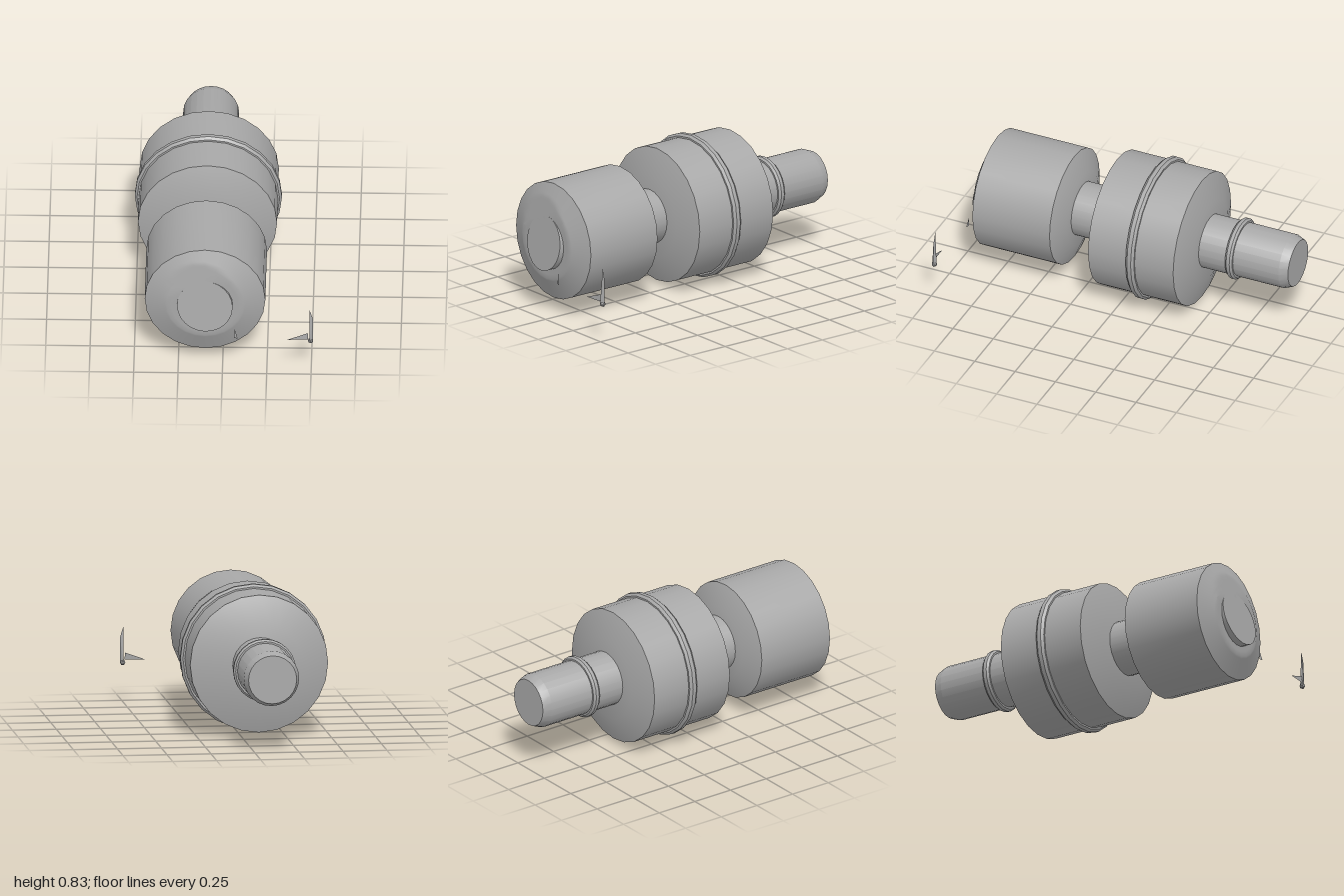
import * as THREE from 'three';
import { toCreasedNormals } from 'three/addons/utils/BufferGeometryUtils.js';

const AXIS_X = -0.1, AXIS_Y = 0.416, SIDES = 24;

export function createModel() {
  const model = new THREE.Group();
  const grey = new THREE.MeshStandardMaterial({ color: 0xa8a8a8, side: THREE.DoubleSide });
  grey.name = 'grey metal';

  const add = (name, geometry) => {
    const mesh = new THREE.Mesh(geometry, grey);
    mesh.name = name;
    model.add(mesh);
    return mesh;
  };

  // slanted cut across the front end: z may not exceed this plane (axis coordinates)
  const cutZ = (x, y) => 0.915 - 0.16 * (-0.33 * (x + 0.03) + 0.94 * (y - 0.119));

  // turned part along z, profile given as [radius, z] from back to front
  const turned = (name, profile, cut = false) => {
    const lathe = new THREE.LatheGeometry(profile.map(([r, z]) => new THREE.Vector2(r, z)), SIDES);
    lathe.rotateX(Math.PI / 2);
    lathe.scale(1, 1, 1);
    const p = lathe.attributes.position;
    for (let i = 0; i < p.count; i++) {
      // rotation about x maps the lathe axis (y) onto +z
      if (cut && p.getZ(i) > 0.8) p.setZ(i, Math.min(p.getZ(i), cutZ(p.getX(i), p.getY(i))));
    }
    const mesh = add(name, toCreasedNormals(lathe, 0.4));
    mesh.position.set(AXIS_X, AXIS_Y, 0);
    return mesh;
  };

  // subdivided straight run of a profile
  const run = (a, b, n) => Array.from({ length: n + 1 }, (_, i) => [
    a[0] + (b[0] - a[0]) * i / n, a[1] + (b[1] - a[1]) * i / n]);

  // central shaft, chamfered at the back and cut at the front
  turned('shaft', [[0, -1], [0.137, -1], [0.157, -0.95], [0.157, 0.85],
    ...run([0.157, 0.99], [0, 0.99], 4)], true);

  // large rear drum
  turned('rearDrum', [[0, -0.455], [0.24, -0.455], [0.392, -0.405],
    [0.392, 0.122], [0.24, 0.172], [0, 0.172]]);

  // front drum with its nose sliced by the cut
  turned('frontDrum', [[0, 0.335], [0.215, 0.335], [0.34, 0.385], [0.34, 0.863],
    ...run([0.34, 0.863], [0.215, 0.915], 10).slice(1),
    ...run([0.215, 0.915], [0, 0.915], 8).slice(1)], true);

  // rounded raised rings
  const ring = (name, z, inner, outer, half) => turned(name, [
    [inner, z - half], [outer - half * 0.5, z - half], [outer, z - half * 0.45],
    [outer, z + half * 0.45], [outer - half * 0.5, z + half], [inner, z + half]]);
  ring('drumRing', -0.14, 0.385, 0.415, 0.026);
  ring('shaftCollar', -0.645, 0.15, 0.178, 0.022);

  // thin loose splinters beside the front end
  const faces = (name, points, indices) => {
    const g = new THREE.BufferGeometry();
    g.setAttribute('position', new THREE.Float32BufferAttribute(points.flat(), 3));
    g.setIndex(indices);
    const flat = g.toNonIndexed();
    flat.computeVertexNormals();
    return add(name, flat);
  };
  faces('uprightSplinter', [[0.491, 0.225, 0.996], [0.512, 0.225, 0.982], [0.495, 0.225, 0.968],
    [0.491, 0.432, 0.978], [0.512, 0.365, 0.98]],
  [0, 1, 4, 0, 4, 3, 1, 2, 4, 2, 3, 4, 2, 0, 3, 0, 2, 1]);
  faces('sideSplinter', [[0.365, 0.232, 0.992], [0.484, 0.235, 0.99], [0.484, 0.276, 0.986]], [0, 1, 2]);
  faces('smallSplinter', [[0.065, 0.222, 0.965], [0.086, 0.222, 0.972], [0.068, 0.282, 0.962]], [0, 1, 2]);

  // small knob joining the splinters
  const knob = add('splinterKnob', new THREE.IcosahedronGeometry(0.017, 0));
  knob.position.set(0.497, 0.221, 0.981);

  return model;
}
